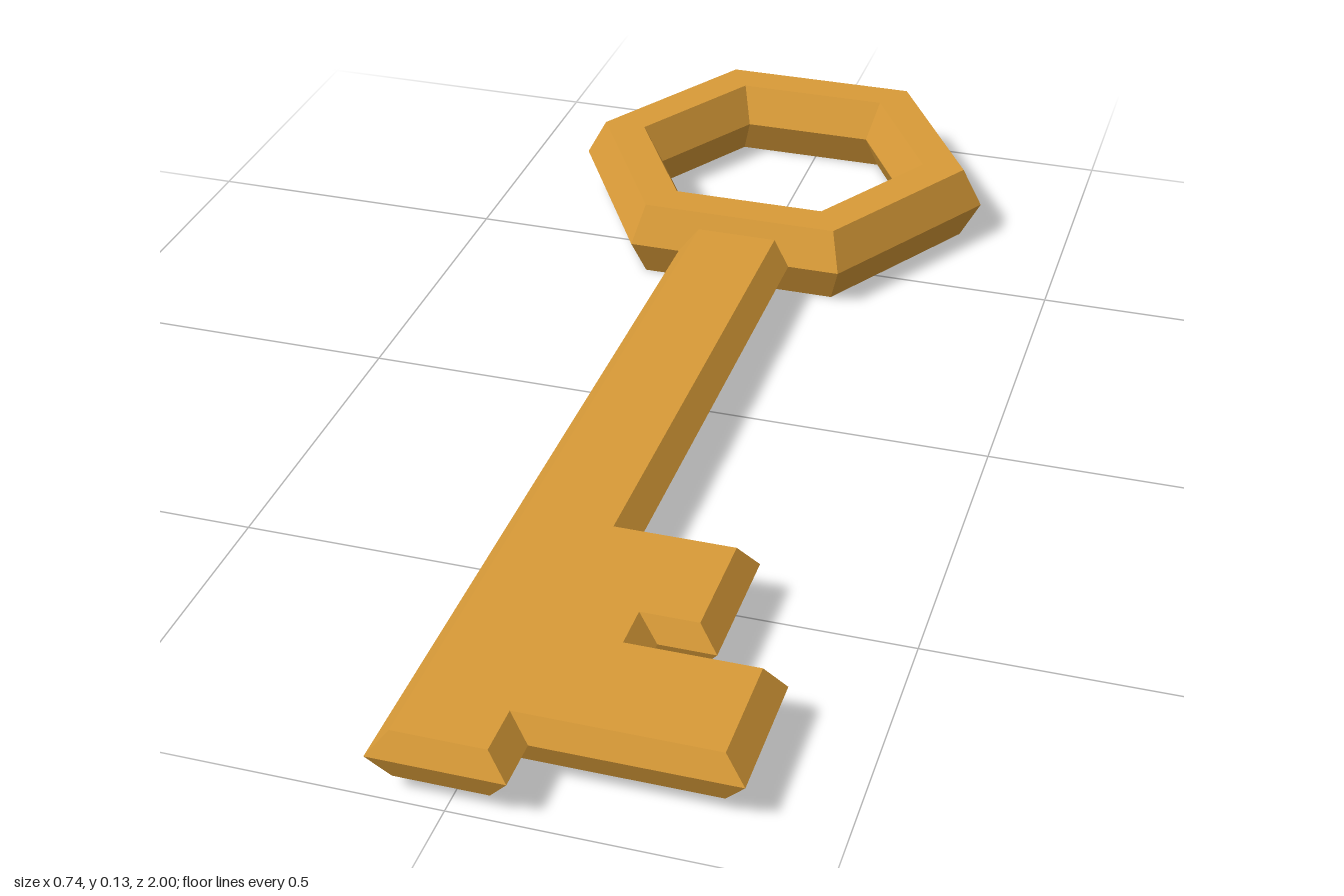
import * as THREE from 'three';

const brass = new THREE.MeshStandardMaterial({ color: 0xd99b38 });
brass.name = 'brass';

const MID_Y = 0.063;

// Gives every facet its own hard normal
function facet(geometry) {
  const flat = geometry.index ? geometry.toNonIndexed() : geometry;
  flat.computeVertexNormals();
  return flat;
}

// Plate with its widest outline at mid height and bevels to a narrower
// outline above and below. Outlines are [x, z], counter-clockwise from above.
function bevelledPlate(wide, narrow, halfHeight) {
  const n = wide.length;
  const positions = [];
  const rings = [[narrow, -halfHeight], [wide, 0], [narrow, halfHeight]];
  for (const [outline, y] of rings) {
    for (const [x, z] of outline) positions.push(x, y, z);
  }
  const index = [];
  for (let r = 0; r < 2; r++) {
    for (let i = 0; i < n; i++) {
      const a = r * n + i, b = r * n + (i + 1) % n;
      index.push(a, b, b + n, a, b + n, a + n);
    }
  }
  const contour = narrow.map(([x, z]) => new THREE.Vector2(x, -z));
  for (const [a, b, c] of THREE.ShapeUtils.triangulateShape(contour, [])) {
    index.push(2 * n + a, 2 * n + b, 2 * n + c); // top
    index.push(c, b, a); // underside
  }
  const geometry = new THREE.BufferGeometry();
  geometry.setAttribute('position', new THREE.Float32BufferAttribute(positions, 3));
  geometry.setIndex(index);
  return facet(geometry);
}

export function createModel() {
  const key = new THREE.Group();
  key.name = 'key';

  // Six-sided ring handle with a hexagonal section
  const h = MID_Y;
  const profile = [
    [0.36, 0], [0.326, h], [0.254, h], [0.22, 0], [0.254, -h], [0.326, -h], [0.36, 0],
  ].map(([r, y]) => new THREE.Vector2(r, y));
  const bow = new THREE.Mesh(
    facet(new THREE.LatheGeometry(profile, 6, Math.PI / 2)), brass);
  bow.name = 'bow';
  bow.position.set(-0.01, MID_Y, -0.688);
  key.add(bow);

  // Shaft and its two teeth as one bevelled plate
  const wide = [
    [-0.106, -0.43], [-0.106, 1], [0.085, 1], [0.085, 0.92],
    [0.37, 0.92], [0.37, 0.71], [0.18, 0.71], [0.18, 0.673],
    [0.263, 0.673], [0.263, 0.457], [0.085, 0.457], [0.085, -0.43],
  ];
  const narrow = [
    [-0.076, -0.43], [-0.076, 0.984], [0.056, 0.984], [0.056, 0.904],
    [0.34, 0.904], [0.34, 0.728], [0.15, 0.728], [0.15, 0.658],
    [0.235, 0.658], [0.235, 0.479], [0.056, 0.479], [0.056, -0.43],
  ];
  const shaft = new THREE.Mesh(bevelledPlate(wide, narrow, 0.037), brass);
  shaft.name = 'shaftAndTeeth';
  shaft.position.y = MID_Y;
  key.add(shaft);

  return key;
}
